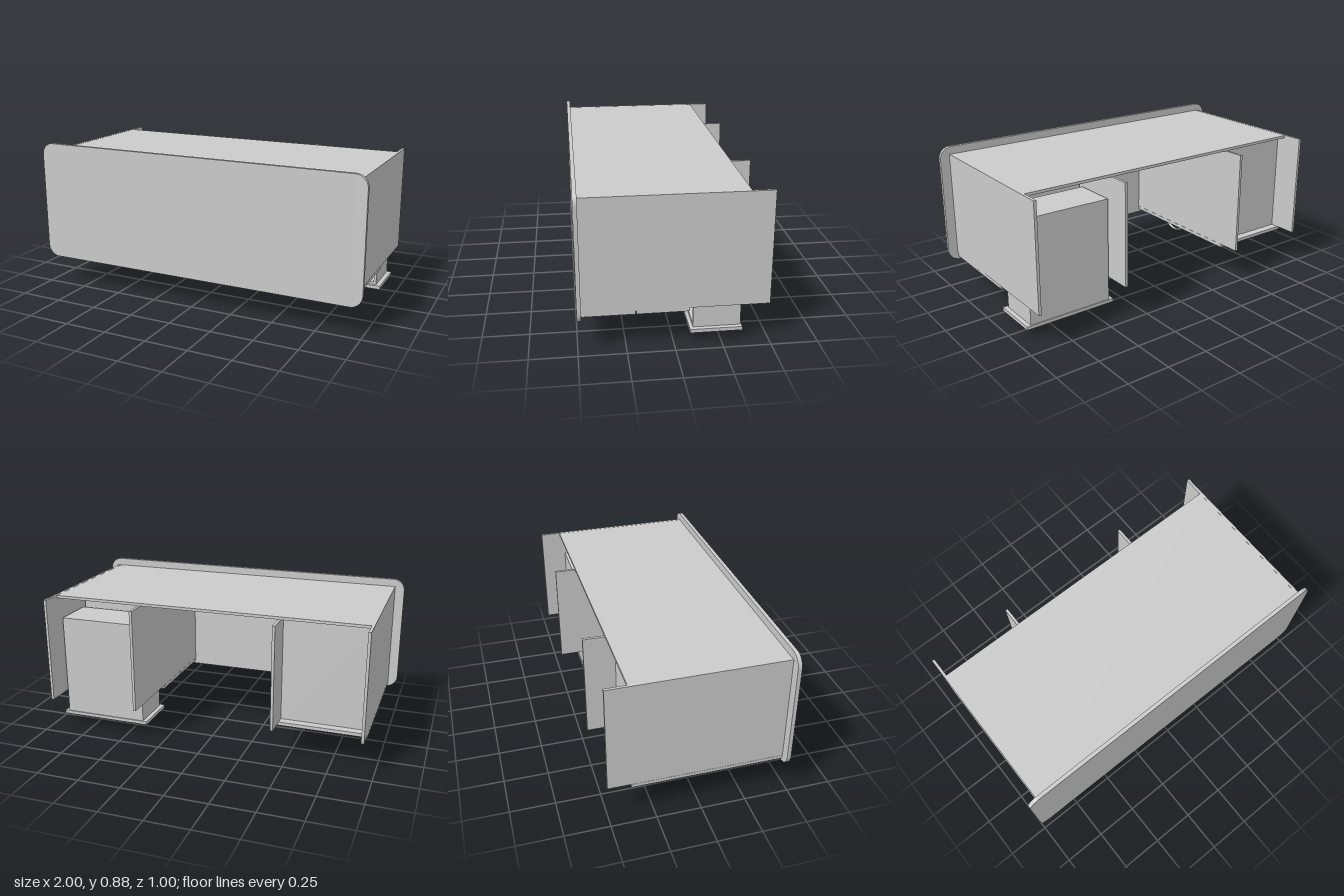
import * as THREE from 'three';

export function createModel() {
  const desk = new THREE.Group();
  desk.name = 'desk';
  const mat = new THREE.MeshStandardMaterial({ color: 0xcccccc });

  const add = (name, geometry, parent = desk) => {
    const mesh = new THREE.Mesh(geometry, mat);
    mesh.name = name;
    parent.add(mesh);
    return mesh;
  };
  // Box given by its limits on each axis
  const board = (name, [x0, x1], [y0, y1], [z0, z1], parent) => {
    const mesh = add(name, new THREE.BoxGeometry(x1 - x0, y1 - y0, z1 - z0), parent);
    mesh.position.set((x0 + x1) / 2, (y0 + y1) / 2, (z0 + z1) / 2);
    return mesh;
  };

  // Desktop: rounded board standing upright, as the desk lies on its back edge
  const [x, y0, y1, r] = [1, 0.172, 0.878, 0.07];
  const outline = new THREE.Shape();
  outline.absarc(x - r, y0 + r, r, -Math.PI / 2, 0);
  outline.absarc(x - r, y1 - r, r, 0, Math.PI / 2);
  outline.absarc(-x + r, y1 - r, r, Math.PI / 2, Math.PI);
  outline.absarc(-x + r, y0 + r, r, Math.PI, Math.PI * 1.5);
  add('desktop', new THREE.ExtrudeGeometry(outline, {
    depth: 0.022, bevelEnabled: false, curveSegments: 10,
  })).position.z = 0.478;

  // Side and inner panels, and the modesty panel between the sides
  const depth = [-0.5, 0.478];
  board('sidePanelRight', [-0.944, -0.928], [0.213, 0.834], depth);
  board('sidePanelLeft', [0.928, 0.944], [0.213, 0.834], depth);
  board('innerPanelRight', [-0.443, -0.427], [0.213, 0.817], depth);
  board('innerPanelLeft', [0.385, 0.401], [0.213, 0.817], depth);
  board('modestyPanel', [-0.928, 0.928], [0.817, 0.833], [-0.38, 0.478]);

  // Bow handle: slightly flattened tube along half an ellipse, hanging in -y
  const bow = [];
  for (let i = 0; i <= 16; i++) {
    const a = (Math.PI * i) / 16;
    bow.push(new THREE.Vector3(0.083 * Math.cos(a), -0.056 * Math.sin(a), 0));
  }
  const handleGeometry = new THREE.TubeGeometry(new THREE.CatmullRomCurve3(bow), 32, 0.0065, 10);
  handleGeometry.scale(1, 1, 1.5);

  // Cupboard with its door
  board('cupboardFloor', [-0.928, -0.443], [0.213, 0.817], [-0.325, -0.31]);
  board('cupboardDoor', [-0.944, -0.427], [0.192, 0.212], [-0.372, 0.476]);
  const doorHandle = add('doorHandle', handleGeometry);
  doorHandle.position.set(-0.485, 0.193, 0.145);
  doorHandle.rotation.y = Math.PI / 2;

  // Drawers: open towards the desktop; local y = 0 is the back of the front board
  const makeDrawer = (name, y, z, hasLock) => {
    const drawer = new THREE.Group();
    drawer.name = name;
    drawer.position.set(0.663, y, z);
    desk.add(drawer);
    board('drawerFront', [-0.278, 0.278], [-0.02, 0], [-0.138, 0.138], drawer);
    const low = -0.132, high = 0.12, w = 0.252, t = 0.015, len = 0.605;
    board('drawerFloor', [-w, w], [0, len], [low, low + 0.01], drawer);
    for (const s of [-1, 1]) {
      const edge = [s * w, s * (w - t)].sort((a, b) => a - b);
      board('drawerSide', edge, [0, len], [low + 0.01, high], drawer);
    }
    for (const [part, v] of [['drawerInnerFront', 0], ['drawerBack', len - t]]) {
      board(part, [-w + t, w - t], [v, v + t], [low + 0.01, high], drawer);
    }
    add('drawerHandle', handleGeometry, drawer).position.y = -0.019;
    if (hasLock) {
      const lock = add('lock', new THREE.CylinderGeometry(0.025, 0.018, 0.009, 20), drawer);
      lock.position.set(0, -0.0245, 0.08);
    }
  };
  makeDrawer('topDrawer', 0.212, 0.338, true);
  makeDrawer('middleDrawer', 0.212, 0.059, true);
  makeDrawer('bottomDrawerPulledOut', 0.083, -0.221, false);

  return desk;
}
